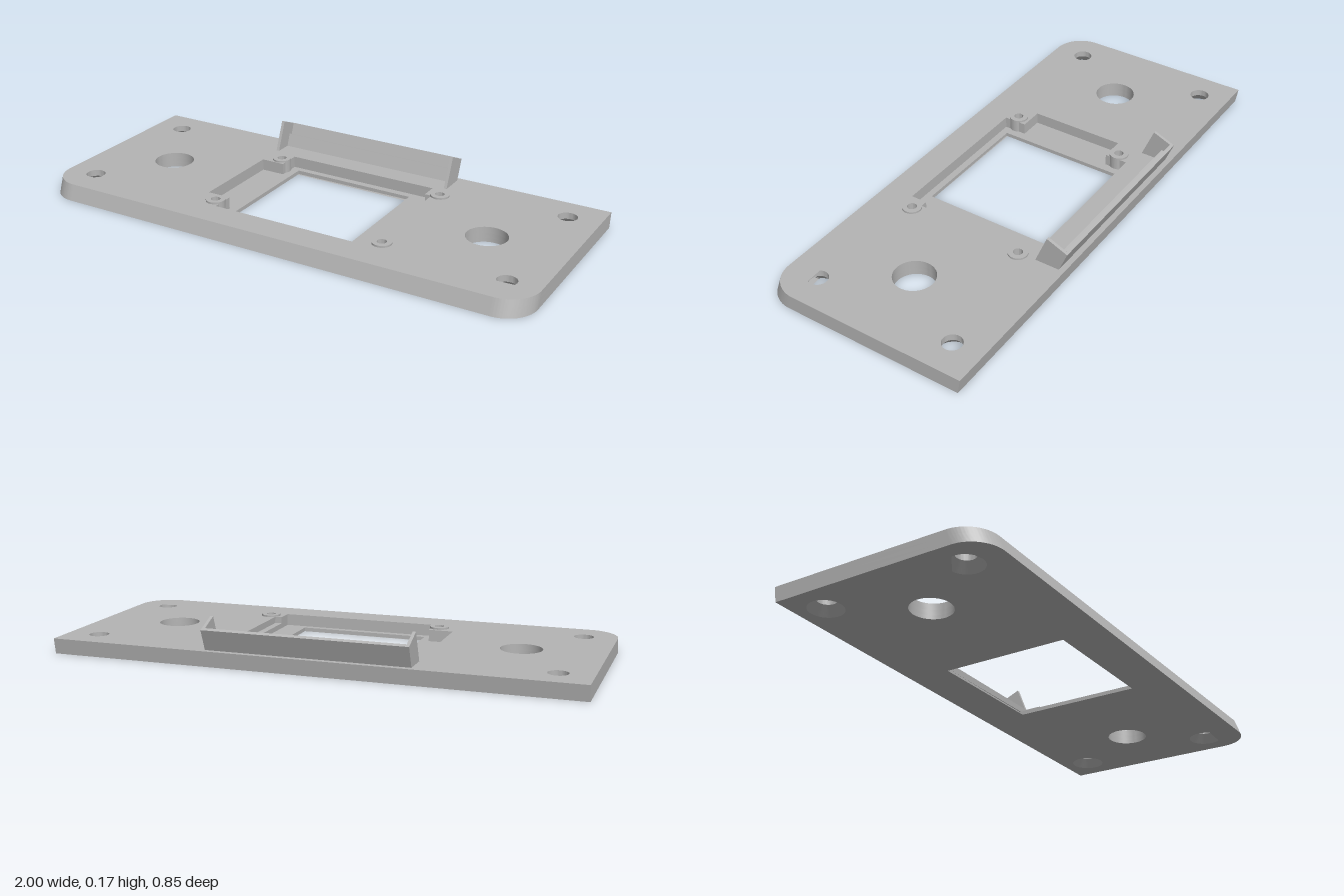
import * as THREE from 'three';
import { toCreasedNormals } from 'three/addons/utils/BufferGeometryUtils.js';

const SCREWS = [[-0.875, -0.295], [0.875, -0.295], [-0.875, 0.275], [0.875, 0.275]];
const BOSSES = [[-0.32, -0.226], [0.39, -0.226], [-0.32, 0.243], [0.39, 0.243]];

// Closed path from [x, z] points, drawn in plan (shape y = -z)
const planPath = (pts) => new THREE.Path(pts.map(([x, z]) => new THREE.Vector2(x, -z)));
const circle = (x, z, r) => new THREE.Path().absarc(x, -z, r, 0, Math.PI * 2, true);

// Plate outline: square back corners, rounded front corners
function plateShape() {
  const r = 0.12, front = -0.425, back = 0.405;
  const s = new THREE.Shape();
  s.moveTo(-1, back);
  s.lineTo(-1, front + r);
  s.absarc(-1 + r, front + r, r, Math.PI, Math.PI * 1.5, false);
  s.absarc(1 - r, front + r, r, Math.PI * 1.5, Math.PI * 2, false);
  s.lineTo(1, back);
  s.closePath();
  return s;
}

// Horizontal slab between heights y0 and y1
function slab(shape, y0, y1) {
  const g = new THREE.ExtrudeGeometry(shape, { depth: y1 - y0, bevelEnabled: false, curveSegments: 24 });
  return g.rotateX(-Math.PI / 2).translate(0, y0, 0);
}

// Lean the front and back edges, and flare the screw holes into countersinks
function shapePlate(g) {
  const p = g.attributes.position;
  for (let i = 0; i < p.count; i++) {
    let x = p.getX(i), z = p.getZ(i);
    const y = p.getY(i);
    if (z > 0.3 && (Math.abs(x) > 0.945 || z > 0.35)) z -= 0.367 * y;
    else if (z < -0.4) z -= 0.167 * y;
    for (const [cx, cz] of SCREWS) {
      const dx = x - cx, dz = z - cz;
      if (Math.hypot(dx, dz) < 0.04) {
        const k = Math.max(0.037, 0.065 - 0.8 * y) / 0.037;
        x = cx + dx * k;
        z = cz + dz * k;
        break;
      }
    }
    p.setXYZ(i, x, y, z);
  }
  g.computeVertexNormals();
  return g;
}

// Side profile of [z, y] points extruded along x
function profile(pts, x0, x1) {
  const s = new THREE.Shape(pts.map(([z, y]) => new THREE.Vector2(-z, y)));
  const g = new THREE.ExtrudeGeometry(s, { depth: x1 - x0, bevelEnabled: false });
  return g.rotateY(Math.PI / 2).translate(x0, 0, 0);
}

export function createModel() {
  const model = new THREE.Group();
  model.name = 'mountingPlate';
  const grey = new THREE.MeshStandardMaterial({ color: 0xb4b4b4 });
  grey.name = 'grey';
  const add = (name, g) => {
    const m = new THREE.Mesh(toCreasedNormals(g, 0.5), grey);
    m.name = name;
    model.add(m);
  };

  // Openings: through window, recess with side pocket, recess with shallow strip
  const windowHole = [[-0.255, -0.25], [0.25, -0.25], [0.25, 0.26], [-0.255, 0.26]];
  const recessLeft = [[-0.29, 0.285], [-0.29, 0.195], [-0.385, 0.195], [-0.385, -0.185], [-0.29, -0.185], [-0.29, -0.275]];
  const recess = [...recessLeft, [0.335, -0.275], [0.335, 0.285]];
  const recessStrip = [...recessLeft, [0.335, -0.275], [0.335, -0.21], [0.362, -0.21],
    [0.362, 0.22], [0.335, 0.22], [0.335, 0.285]];

  // Plate built as three stacked layers
  const layers = [
    ['plateFloor', 0, 0.015, windowHole],
    ['plateMiddle', 0.015, 0.035, recess],
    ['plateTop', 0.035, 0.06, recessStrip],
  ];
  for (const [name, y0, y1, opening] of layers) {
    const s = plateShape();
    s.holes.push(planPath(opening));
    for (const [x, z] of SCREWS) s.holes.push(circle(x, z, 0.037));
    for (const x of [-0.69, 0.685]) s.holes.push(circle(x, 0.005, 0.078));
    if (name === 'plateTop') for (const [x, z] of BOSSES) s.holes.push(circle(x, z, 0.018));
    add(name, shapePlate(slab(s, y0, y1)));
  }

  // Ring bosses around the recess
  for (const [x, z] of BOSSES) {
    const s = new THREE.Shape().absarc(x, -z, 0.037, 0, Math.PI * 2, false);
    s.holes.push(circle(x, z, 0.018));
    add('screwBoss', slab(s, 0.015, 0.067));
  }

  // Leaning holder: two end cheeks and a stepped back wall
  const cheek = [[-0.295, 0.058], [-0.342, 0.175], [-0.425, 0.14], [-0.392, 0.058]];
  add('holderCheekRight', profile(cheek, -0.391, -0.379));
  add('holderCheekLeft', profile(cheek, 0.373, 0.385));
  add('holderBackWall', profile([[-0.361, 0.058], [-0.38, 0.108], [-0.396, 0.102],
    [-0.413, 0.146], [-0.425, 0.14], [-0.392, 0.058]], -0.379, 0.373));

  return model;
}
